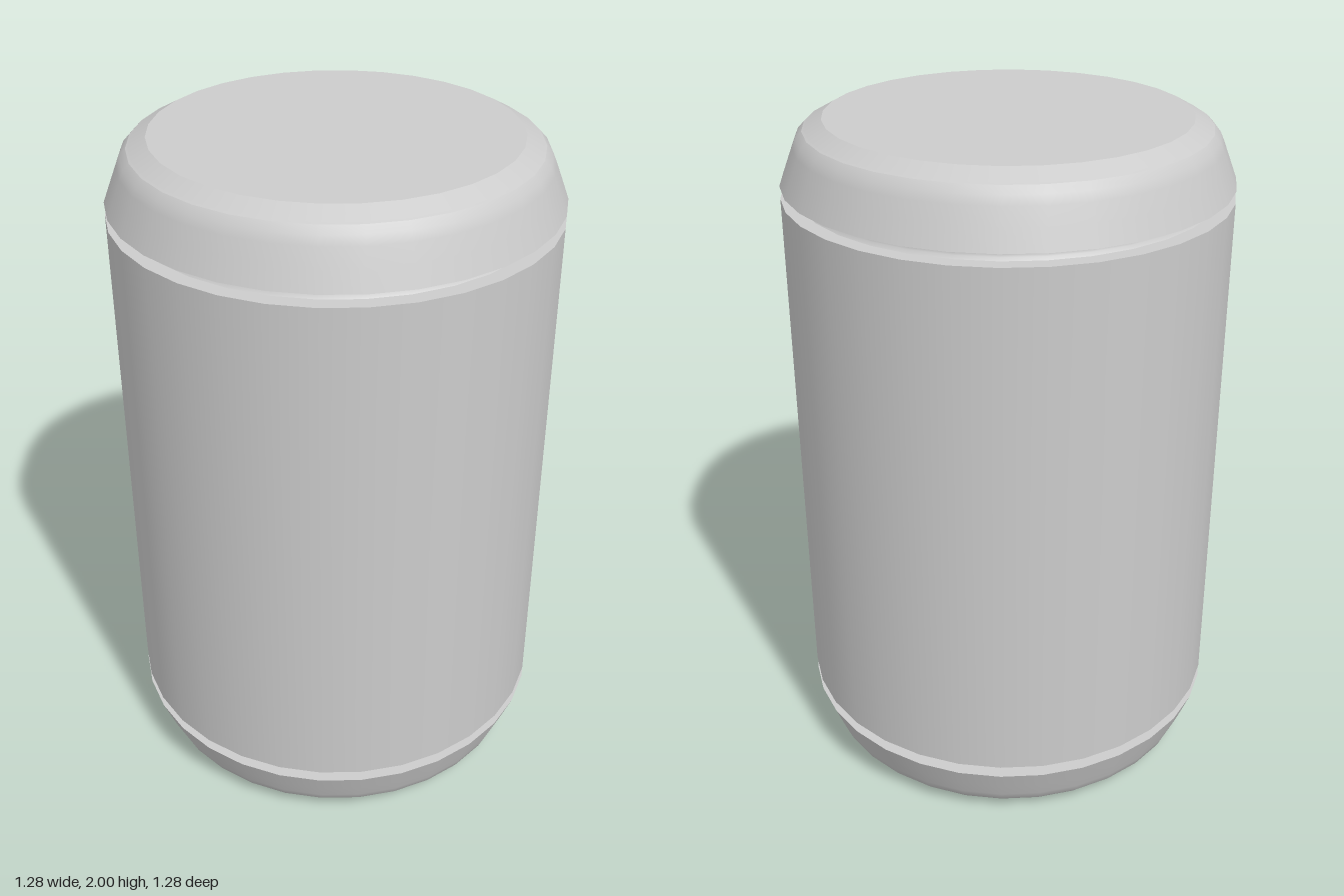
import * as THREE from 'three';

const SIDES = 32;
const material = new THREE.MeshStandardMaterial({ color: 0xcccccc });

// Each strip is a smooth run of [radius, y]; separate strips meet in a hard edge.
function turned(name, strips) {
  const group = new THREE.Group();
  group.name = name;
  strips.forEach((strip, i) => {
    const points = strip.map(([r, y]) => new THREE.Vector2(r, y));
    const mesh = new THREE.Mesh(new THREE.LatheGeometry(points, SIDES), material);
    mesh.name = `${name}Surface${i + 1}`;
    group.add(mesh);
  });
  return group;
}

// Flip strips about mid height, keeping them running from bottom to top.
const mirrored = (strips) =>
  strips.map((strip) => strip.map(([r, y]) => [r, 2 - y]).reverse());

export function createModel() {
  const model = new THREE.Group();
  model.name = 'canister';

  // Main barrel with flat shoulders
  model.add(turned('barrel', [
    [[0.595, 0.215], [0.64, 0.215]],
    [[0.64, 0.215], [0.64, 1.785]],
    [[0.64, 1.785], [0.595, 1.785]],
  ]));

  // Rounded groove between barrel and cap
  const groove = [[[0.595, 1.785], [0.588, 1.793], [0.585, 1.803], [0.588, 1.812], [0.595, 1.82]]];
  model.add(turned('topGroove', groove));
  model.add(turned('bottomGroove', mirrored(groove)));

  // End cap: underside, curved flank, narrow step, chamfer, flat end
  const cap = [
    [[0.595, 1.82], [0.64, 1.82]],
    [[0.64, 1.82], [0.617, 1.88], [0.599, 1.926], [0.588, 1.951], [0.57, 1.97]],
    [[0.57, 1.97], [0.564, 1.973]],
    [[0.564, 1.973], [0.515, 2]],
    [[0.515, 2], [0, 2]],
  ];
  model.add(turned('topCap', cap));
  model.add(turned('bottomCap', mirrored(cap)));

  return model;
}
